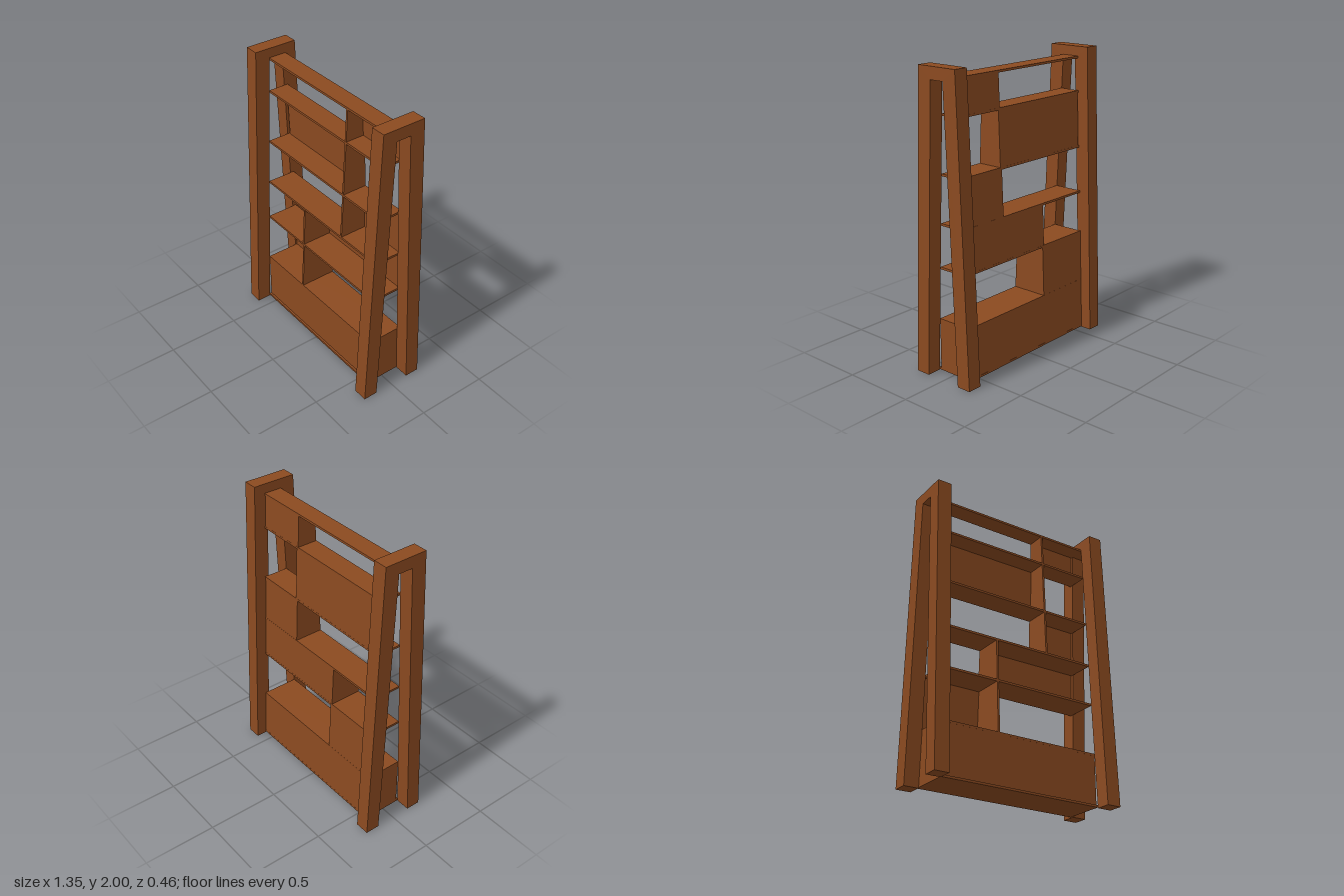
import * as THREE from 'three';

const wood = new THREE.MeshStandardMaterial({ color: 0x8b4a20 });
wood.name = 'brown wood';

// Depth of the unit tapers with height
const front = (y) => 0.13 - 0.0417 * y;
const back = (y) => -front(y) - 0.025;

export function createModel() {
  const model = new THREE.Group();

  // Board whose front and back edges follow the given rules of height
  function board(name, x0, x1, y0, y1, zFront, zBack) {
    const g = new THREE.BoxGeometry(x1 - x0, y1 - y0, 1);
    g.translate((x0 + x1) / 2, (y0 + y1) / 2, 0);
    const p = g.attributes.position;
    for (let i = 0; i < p.count; i++) {
      p.setZ(i, p.getZ(i) > 0 ? zFront(p.getY(i)) : zBack(p.getY(i)));
    }
    g.computeVertexNormals();
    const mesh = new THREE.Mesh(g, wood);
    mesh.name = name;
    model.add(mesh);
  }

  // Tapered A-shaped end frames
  const outline = new THREE.Shape([
    [-0.23, 0], [-0.13, 0], [-0.05, 1.92], [0.05, 1.92],
    [0.13, 0], [0.23, 0], [0.15, 2], [-0.15, 2],
  ].map(([z, y]) => new THREE.Vector2(z, y)));
  for (const side of [-1, 1]) {
    const g = new THREE.ExtrudeGeometry(outline, { depth: 0.1, bevelEnabled: false });
    g.translate(0, 0, -0.05).rotateY(Math.PI / 2);
    const frame = new THREE.Mesh(g, wood);
    frame.name = side > 0 ? 'leftFrame' : 'rightFrame';
    frame.position.x = side * 0.625;
    model.add(frame);
  }

  // Shelves, by height of the underside
  const T = 0.015;
  const E = 0.575;
  for (const y of [0.005, 0.35, 0.705, 0.995, 1.315, 1.69, 1.92]) {
    board('shelf', -E, E, y, y + T, () => front(y), () => back(y));
  }

  // Open rows: bottom, top, divider x, back panel x range
  const rows = [
    [0.365, 0.705, -0.167, -E, -0.174],
    [0.72, 0.995, -0.167, -0.16, 0.57],
    [1.01, 1.315, 0.225, 0.232, 0.57],
    [1.33, 1.69, 0.225, -0.565, 0.218],
    [1.705, 1.92, 0.225, 0.232, 0.57],
  ];
  for (const [y0, y1, x, p0, p1] of rows) {
    board('divider', x - 0.007, x + 0.007, y0, y1, front, back);
    board('backPanel', p0, p1, y0, y1, (y) => back(y) + 0.012, back);
  }

  // Closed base cabinet
  const face = () => 0.115;
  board('cabinetFront', -E, E, 0.02, 0.35, face, () => 0.103);
  board('cabinetBack', -E, E, 0.02, 0.35, (y) => back(y) + 0.012, back);
  for (const side of [-1, 1]) {
    const x = side * 0.568;
    board('cabinetSide', x - 0.007, x + 0.007, 0.02, 0.35, () => 0.103, (y) => back(y) + 0.012);
  }
  return model;
}
